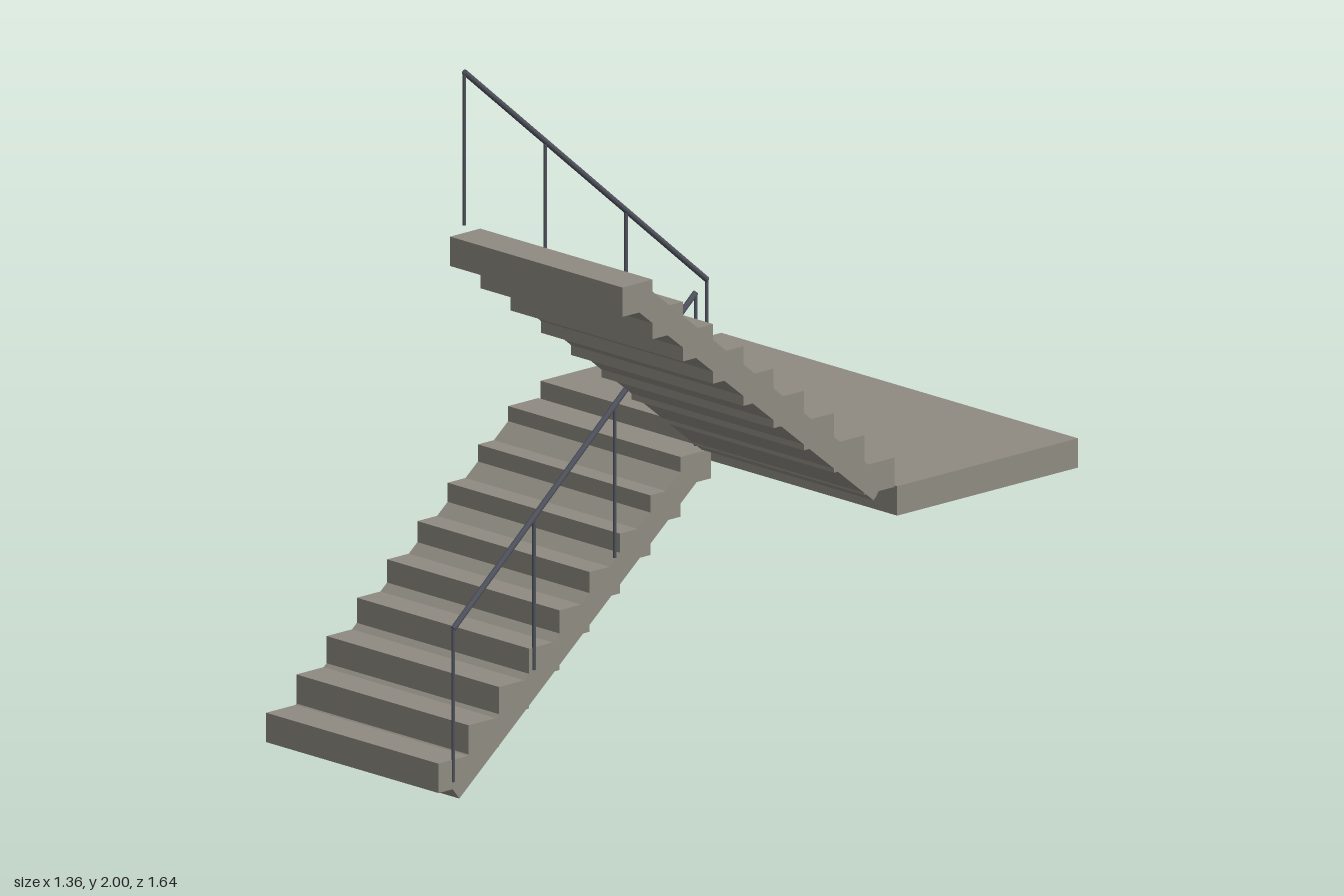
import * as THREE from 'three';

const concrete = new THREE.MeshStandardMaterial({ color: 0x8f8b82 });
concrete.name = 'concrete';
const railMetal = new THREE.MeshStandardMaterial({ color: 0x50535e });
railMetal.name = 'dark metal';

function box(name, w, h, d, x, y, z, parent) {
  const mesh = new THREE.Mesh(new THREE.BoxGeometry(w, h, d), concrete);
  mesh.name = name;
  mesh.position.set(x, y, z);
  parent.add(mesh);
  return mesh;
}

// Round bar between two points
function bar(name, a, b, radius, parent) {
  const dir = b.clone().sub(a);
  const mesh = new THREE.Mesh(new THREE.CylinderGeometry(radius, radius, dir.length(), 12), railMetal);
  mesh.name = name;
  mesh.position.copy(a).add(b).multiplyScalar(0.5);
  mesh.quaternion.setFromUnitVectors(new THREE.Vector3(0, 1, 0), dir.normalize());
  parent.add(mesh);
}

const STEPS = 9, TREAD = 0.109, RISE = 0.0825, STEP_H = 0.08, WIDTH = 0.655;

// Nine block steps on a sloping slab; dir is the z direction of ascent
function flight(name, x, firstTop, slabY, dir) {
  const g = new THREE.Group();
  g.name = name;
  const midZ = 0.33;
  for (let i = 0; i < STEPS; i++) {
    const z = midZ + dir * (i - (STEPS - 1) / 2) * TREAD;
    box('step', WIDTH, STEP_H, TREAD, x, firstTop + i * RISE - STEP_H / 2, z, g);
  }
  const slab = box('slopingSlab', WIDTH, 0.067, 1.121, x, slabY, midZ, g);
  slab.rotation.x = -dir * Math.atan(0.807);
  return g;
}

// Four posts under a sloping handrail
function railing(name, x, z0, z1, top0, top1) {
  const g = new THREE.Group();
  g.name = name;
  const start = new THREE.Vector3(x, top0, z0);
  const end = new THREE.Vector3(x, top1, z1);
  for (let i = 0; i < 4; i++) {
    const top = start.clone().lerp(end, i / 3);
    bar('post', top.clone().setY(top.y - 0.417), top, 0.005, g);
  }
  bar('handrail', start, end, 0.008, g);
  return g;
}

export function createModel() {
  const model = new THREE.Group();
  model.name = 'staircase';
  model.add(flight('lowerFlight', -0.3505, 0.11, 0.378, -1));
  model.add(flight('upperFlight', 0.3485, 0.895, 1.171, 1));
  box('landing', 1.355, 0.08, 0.651, -0.001, 0.775, -0.4945, model);
  model.add(railing('lowerRailing', -0.023, 0.767, -0.106, 0.467, 1.207));
  model.add(railing('upperRailing', 0.019, -0.106, 0.767, 1.252, 1.992));
  return model;
}
